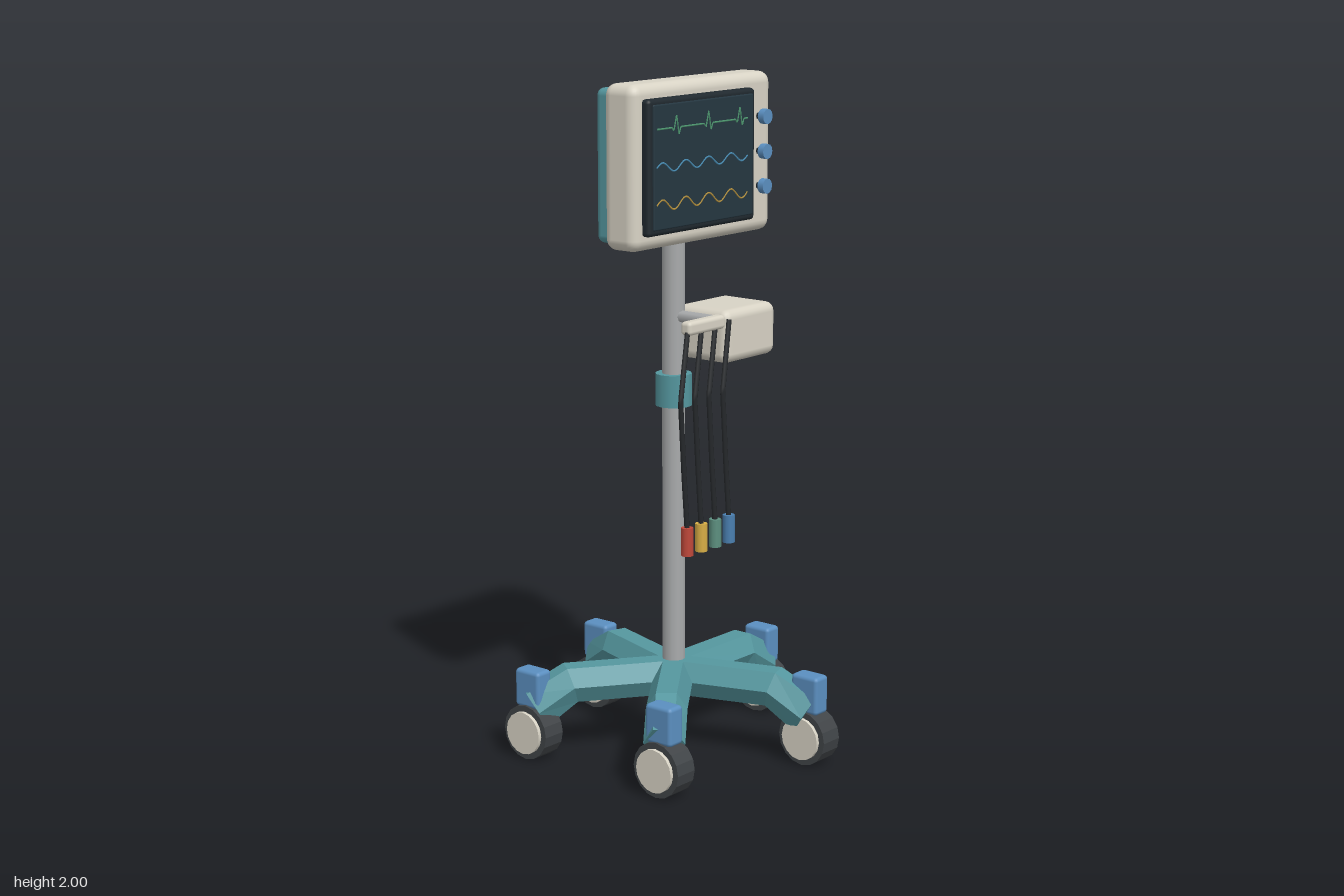
import * as THREE from 'three';
import { RoundedBoxGeometry } from 'three/addons/geometries/RoundedBoxGeometry.js';

const mat = (color, flatShading = false) => new THREE.MeshStandardMaterial({ color, flatShading });
const TEAL = mat(0x55979f), TEAL_FLAT = mat(0x55979f, true), CREAM = mat(0xd8d3c5), BLUE = mat(0x5b8fc0);
const STEEL = mat(0xa9abac), RUBBER = mat(0x404447, true), DARK = mat(0x20292f), SCREEN = mat(0x253741);
const CABLE = mat(0x25282b);
const POLE_X = -0.037;

function add(parent, name, geometry, material, x = 0, y = 0, z = 0) {
  const mesh = new THREE.Mesh(geometry, material);
  mesh.name = name;
  mesh.position.set(x, y, z);
  parent.add(mesh);
  return mesh;
}

// rounded box given by its extents
function block(parent, name, [x0, x1], [y0, y1], [z0, z1], radius, material, segments = 3) {
  const g = new RoundedBoxGeometry(x1 - x0, y1 - y0, z1 - z0, segments, radius);
  return add(parent, name, g, material, (x0 + x1) / 2, (y0 + y1) / 2, (z0 + z1) / 2);
}

// tube through points, with straight runs between them
function polyTube(points, radius, steps, sides) {
  const path = new THREE.CurvePath();
  for (let i = 1; i < points.length; i++) path.add(new THREE.LineCurve3(points[i - 1], points[i]));
  return new THREE.TubeGeometry(path, steps, radius, sides);
}

// hexagonal leg: flat run, mitred bend, then a slope down to the caster
function legGeometry() {
  const g = new THREE.CylinderGeometry(0.06, 0.06, 2, 6, 2).rotateZ(-Math.PI / 2);
  const stations = [[0, 0.218, 0], [0.315, 0.218, 0.3], [0.422, 0.15, 0.6]];
  const p = g.attributes.position;
  for (let i = 0; i < p.count; i++) {
    const [r, y, lean] = stations[Math.round(p.getX(i)) + 1];
    const dy = p.getY(i);
    p.setXY(i, r + lean * dy, y + dy);
  }
  g.computeVertexNormals();
  return g;
}

function buildBase(root) {
  const base = new THREE.Group();
  base.name = 'base';
  root.add(base);
  for (let i = 0; i < 5; i++) {
    const a = (i * Math.PI * 2) / 5;
    const x = POLE_X + 0.427 * Math.cos(a), z = -0.427 * Math.sin(a);
    add(base, 'leg', legGeometry(), TEAL_FLAT, POLE_X).rotation.y = a;
    // casters all roll the same way
    const caster = new THREE.Group();
    caster.name = 'caster';
    caster.position.set(x, 0, z);
    base.add(caster);
    block(caster, 'casterCap', [-0.03, 0.03], [0.155, 0.27], [-0.047, 0.047], 0.012, BLUE, 2);
    add(caster, 'wheel', new THREE.CylinderGeometry(0.082, 0.082, 0.074, 16).rotateZ(Math.PI / 2), RUBBER, 0, 0.082);
    add(caster, 'wheelDisc', new THREE.CylinderGeometry(0.064, 0.064, 0.02, 16).rotateZ(Math.PI / 2), CREAM, -0.038, 0.082);
  }
}

function buildMonitor(root) {
  const monitor = new THREE.Group();
  monitor.name = 'monitor';
  root.add(monitor);
  block(monitor, 'frontShell', [-0.385, 0.23], [1.54, 2], [0.033, 0.15], 0.032, CREAM);
  block(monitor, 'rearShell', [-0.368, 0.213], [1.555, 1.985], [-0.008, 0.06], 0.022, TEAL);
  block(monitor, 'screenBezel', [-0.352, 0.12], [1.583, 1.96], [0.14, 0.174], 0.012, DARK, 2);
  block(monitor, 'screen', [-0.335, 0.104], [1.6, 1.945], [0.165, 0.179], 0.004, SCREEN, 1);

  // knobs on short stems
  for (const y of [1.875, 1.775, 1.675]) {
    add(monitor, 'knob', new THREE.CylinderGeometry(0.022, 0.022, 0.02, 12).rotateX(Math.PI / 2), BLUE, 0.163, y, 0.175);
    add(monitor, 'knobStem', new THREE.CylinderGeometry(0.01, 0.01, 0.03, 8).rotateX(Math.PI / 2), DARK, 0.163, y, 0.155);
  }

  // pulse trace with three spikes, and two waves
  const at = (x, y) => new THREE.Vector3(x, y, 0.18);
  const pulse = [at(-0.325, 1.878)];
  for (const x of [-0.24, -0.1, 0.04]) {
    for (const [dx, dy] of [[-0.02, 0], [-0.012, -0.01], [0, 0.035], [0.01, -0.02], [0.018, 0]]) {
      pulse.push(at(x + dx, 1.878 + dy));
    }
  }
  pulse.push(at(0.075, 1.878));
  add(monitor, 'pulseTrace', polyTube(pulse, 0.0025, 136, 4), mat(0x4f9a72));
  const wave = (y, height, cycles) => {
    const pts = [];
    for (let i = 0; i <= 60; i++) pts.push(at(-0.325 + i / 150, y + height * Math.sin((i / 60) * cycles * Math.PI * 2)));
    return new THREE.TubeGeometry(new THREE.CatmullRomCurve3(pts), 100, 0.0025, 4);
  };
  add(monitor, 'blueTrace', wave(1.772, 0.013, 4), mat(0x4a90b8));
  add(monitor, 'yellowTrace', wave(1.668, 0.015, 4), mat(0xb89440));
}

function buildCables(root) {
  const cables = new THREE.Group();
  cables.name = 'cables';
  root.add(cables);
  // hanger: arm from the pole and a crossbar
  const arm = polyTube([new THREE.Vector3(POLE_X, 1.305, 0), new THREE.Vector3(POLE_X, 1.305, 0.162)], 0.018, 1, 8);
  add(cables, 'hangerArm', arm, STEEL);
  block(cables, 'hangerBar', [-0.185, -0.02], [1.285, 1.325], [0.145, 0.182], 0.012, CREAM, 2);
  [0xc0483a, 0xd8ae45, 0x5d9080, 0x4a7fb0].forEach((color, i) => {
    const x = -0.225 + i * 0.063;
    const points = [[-0.175 + i * 0.062, 1.305, 0.167], [x - 0.01, 1.105, 0.19], [x - 0.005, 0.9, 0.198], [x, 0.73, 0.206]];
    add(cables, 'cable', polyTube(points.map((p) => new THREE.Vector3(...p)), 0.008, 30, 6), CABLE);
    add(cables, 'cablePlug', new THREE.CylinderGeometry(0.018, 0.018, 0.082, 10), mat(color), x, 0.703, 0.206);
  });
}

export function createModel() {
  const root = new THREE.Group();
  root.name = 'patientMonitorStand';
  buildBase(root);
  // pole, height collar and side module
  add(root, 'pole', new THREE.CylinderGeometry(0.034, 0.034, 1.41, 12), STEEL, POLE_X, 0.92);
  add(root, 'collar', new THREE.CylinderGeometry(0.054, 0.054, 0.095, 12), TEAL, POLE_X, 1.088);
  block(root, 'sideModule', [0.008, 0.247], [1.17, 1.327], [-0.04, 0.16], 0.028, CREAM, 2);
  add(root, 'moduleBracket', new THREE.BoxGeometry(0.06, 0.05, 0.03), STEEL, -0.008, 1.25);
  buildMonitor(root);
  buildCables(root);
  return root;
}
